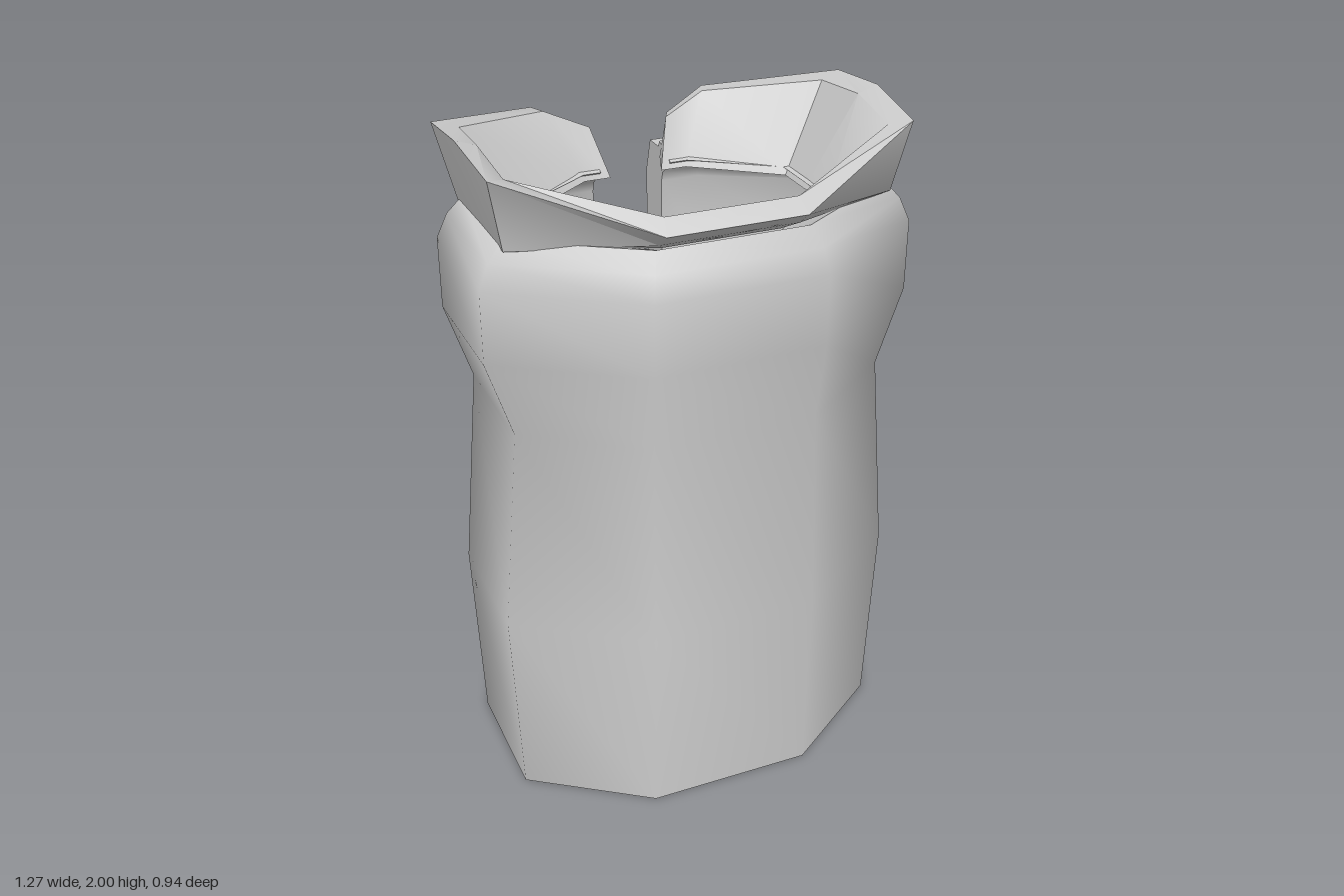
import * as THREE from 'three';
import { toCreasedNormals } from 'three/addons/utils/BufferGeometryUtils.js';

const material = new THREE.MeshStandardMaterial({ color: 0xcccccc, side: THREE.DoubleSide });

// Skin a row of closed sections; each runs up the outside, then down the inside
function loft(sections, crease) {
  const n = sections[0].length;
  const positions = [];
  const quad = (a, b, c, d) => [a, b, c, a, c, d].forEach((p) => positions.push(...p));
  for (let i = 0; i < sections.length - 1; i++) {
    for (let j = 0; j < n; j++) {
      const k = (j + 1) % n;
      quad(sections[i][j], sections[i][k], sections[i + 1][k], sections[i + 1][j]);
    }
  }
  // End caps join outside to inside
  const first = sections[0];
  const last = sections[sections.length - 1];
  for (let j = 0; j < n / 2 - 1; j++) {
    quad(last[j], last[j + 1], last[n - 2 - j], last[n - 1 - j]);
    quad(first[n - 1 - j], first[n - 2 - j], first[j + 1], first[j]);
  }
  const geometry = new THREE.BufferGeometry();
  geometry.setAttribute('position', new THREE.Float32BufferAttribute(positions, 3));
  return toCreasedNormals(geometry, crease);
}

// Continue half a ring of sections onto the -x side
function mirrored(half) {
  const other = half.map((s) => s.map(([x, y, z]) => [-x, y, z])).reverse();
  return [...half, ...other];
}

function part(name, geometry) {
  const mesh = new THREE.Mesh(geometry, material);
  mesh.name = name;
  return mesh;
}

export function createModel() {
  const group = new THREE.Group();
  group.name = 'openVest';

  // Body rows: height, half width, front z, back z, corner scale
  const outside = [
    [0, 0.59, 0.455, -0.4, 1],
    [0.6, 0.615, 0.465, -0.405, 1],
    [1.22, 0.56, 0.44, -0.385, 0.97],
    [1.45, 0.635, 0.47, -0.4, 1],
    [1.66, 0.635, 0.47, -0.4, 1],
    [1.73, 0.605, 0.45, -0.39, 0.95],
    [1.78, 0.56, 0.405, -0.365, 0.88],
  ];
  const inside = outside.slice(0, 6).map(([y, w, f, b, k]) =>
    [Math.min(y, 1.69), w - 0.05, f - 0.05, b + 0.05, k * 0.92]);
  inside.push([1.74, 0.4, 0.33, -0.28, 0.65]);
  const rows = [...outside, ...inside.reverse()];
  const stations = [
    ([y, w, f, b]) => [0.11, y, b],
    ([y, w, f, b, k]) => [0.25 * k, y, b],
    ([y, w, f, b, k]) => [w, y, -0.18 * k],
    ([y, w, f, b, k]) => [w, y, 0.22 * k],
    ([y, w, f, b, k]) => [0.25 * k, y, f],
  ];
  group.add(part('body', loft(mirrored(stations.map((s) => rows.map(s))), 1.1)));

  // Flared collar: outer bottom, outer top, inner top, inner bottom
  const collar = [
    [[0.1, 1.74, -0.34], [0.14, 1.86, -0.38], [0.12, 1.86, -0.34], [0.08, 1.72, -0.28]],
    [[0.25, 1.75, -0.36], [0.27, 1.915, -0.42], [0.25, 1.915, -0.37], [0.16, 1.72, -0.28]],
    [[0.565, 1.75, -0.18], [0.62, 1.98, -0.21], [0.55, 1.965, -0.18], [0.4, 1.72, -0.1]],
    [[0.565, 1.76, 0.02], [0.62, 2.0, 0.02], [0.56, 1.98, 0.02], [0.4, 1.72, 0.02]],
    [[0.565, 1.76, 0.22], [0.605, 1.965, 0.25], [0.55, 1.95, 0.21], [0.4, 1.73, 0.15]],
    [[0.2, 1.78, 0.38], [0.2, 1.82, 0.43], [0.19, 1.86, 0.39], [0.17, 1.75, 0.33]],
  ];
  group.add(part('collar', loft(mirrored(collar), 0.7)));

  // Lapel rows: height, outer edge x, outer z, inner z
  const lapelRows = [
    [1.22, 0.14, -0.435, -0.38],
    [1.43, 0.27, -0.47, -0.395],
    [1.66, 0.435, -0.47, -0.395],
    [1.76, 0.475, -0.44, -0.36],
  ];
  const lapelColumns = [
    () => 0.11,
    (edge) => Math.min(0.255, edge - 0.012),
    (edge) => edge,
  ];
  const lapelSections = lapelColumns.map((column) => {
    const at = (zIndex) => (row) => {
      const x = column(row[1]);
      return [x, row[0], row[zIndex] + Math.max(0, x - 0.26) * 0.6];
    };
    return [...lapelRows.map(at(2)), ...lapelRows.map(at(3)).reverse()];
  });
  const lapelGeometry = loft(lapelSections, 0.6);
  for (const side of [1, -1]) {
    const lapel = part(side > 0 ? 'leftLapel' : 'rightLapel', lapelGeometry);
    lapel.scale.x = side;
    group.add(lapel);
  }

  // Pocket patch on the slanted panel
  const pocket = part('pocket', new THREE.BoxGeometry(0.27, 0.225, 0.05));
  pocket.position.set(0.445, 0.763, -0.285);
  pocket.rotation.y = -0.553;
  group.add(pocket);

  return group;
}
